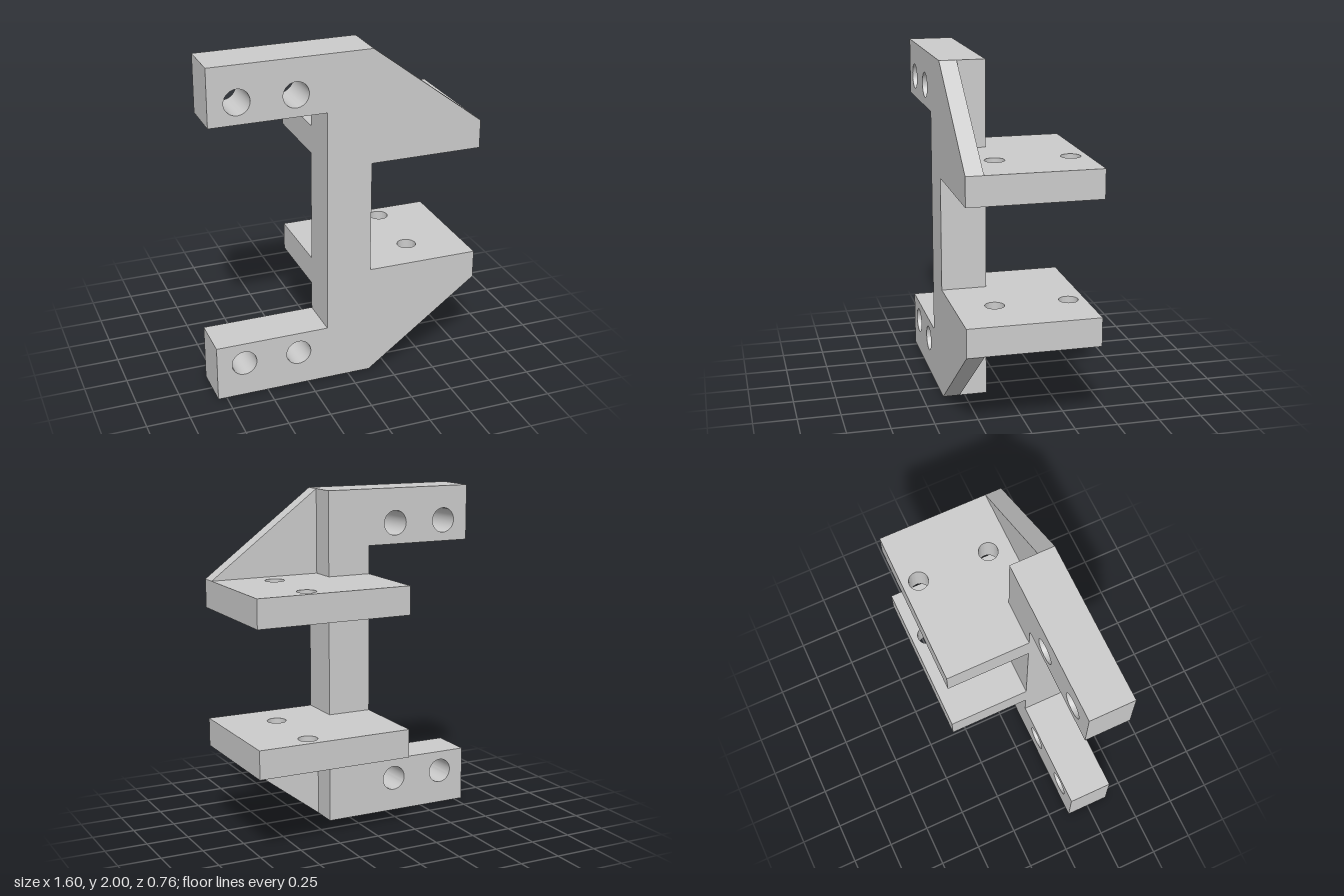
import * as THREE from 'three';
import { toCreasedNormals } from 'three/addons/utils/BufferGeometryUtils.js';

const material = new THREE.MeshStandardMaterial({ color: 0xcccccc });

// Extrude an outline with round holes, keeping edges sharp and bores smooth
function slab(name, outline, holes, radius, depth) {
  const shape = new THREE.Shape(outline.map(([x, y]) => new THREE.Vector2(x, y)));
  for (const [x, y] of holes) {
    shape.holes.push(new THREE.Path().absarc(x, y, radius, 0, Math.PI * 2, true));
  }
  const geometry = new THREE.ExtrudeGeometry(shape, { depth, bevelEnabled: false, curveSegments: 24 });
  const mesh = new THREE.Mesh(toCreasedNormals(geometry, 0.5), material);
  mesh.name = name;
  return mesh;
}

export function createModel() {
  const group = new THREE.Group();
  group.name = 'mountingBracket';

  const left = -0.8, right = 0.8, colL = -0.13, colR = 0.135;
  const front = 0.38, colBack = 0.117, back = -0.38;

  // C-shaped frame: upright column with two drilled mounting arms
  const armHoles = [];
  for (const x of [-0.637, -0.307]) for (const y of [0.207, 1.793]) armHoles.push([x, y]);
  const frame = slab('frame', [
    [left, 0], [colR, 0], [colR, 2], [left, 2],
    [left, 1.667], [colL, 1.667], [colL, 0.333], [left, 0.333],
  ], armHoles, 0.074, front - colBack);
  frame.position.z = colBack;
  group.add(frame);

  // Horizontal drilled shelves, notched around the column (outline y is -z)
  for (const [name, y] of [['lowerShelf', 0.5], ['upperShelf', 1.333]]) {
    const shelf = slab(name, [
      [colR, -front], [right, -front], [right, -back],
      [colL, -back], [colL, -colBack], [colR, -colBack],
    ], [[0.467, 0.285], [0.467, -0.145]], 0.056, 0.167);
    shelf.rotation.x = -Math.PI / 2;
    shelf.position.y = y;
    group.add(shelf);
  }

  // Triangular gussets bracing the shelves at the front
  const gussets = {
    lowerGusset: [[colR, 0], [right, 0.5], [colR, 0.5]],
    upperGusset: [[colR, 1.5], [right, 1.5], [colR, 2]],
  };
  for (const [name, outline] of Object.entries(gussets)) {
    const gusset = slab(name, outline, [], 0, 0.1);
    gusset.position.z = front - 0.1;
    group.add(gusset);
  }

  return group;
}
